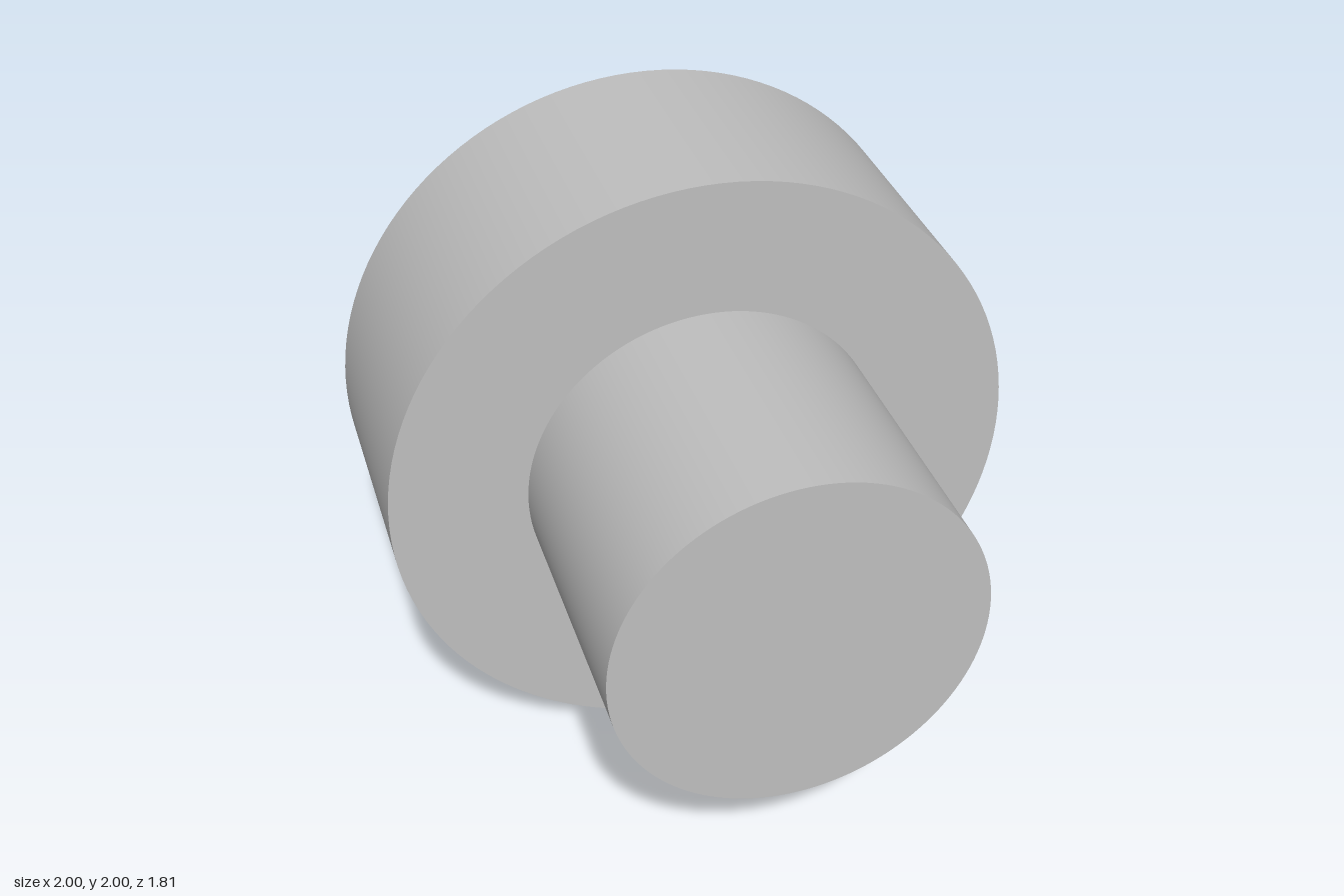
import * as THREE from 'three';

const SEGMENTS = 128;
const AXIS_HEIGHT = 1;

// Solid cylinder lying along z, between two z positions
function roundPart(name, radius, zBack, zFront, material) {
  const geometry = new THREE.CylinderGeometry(radius, radius, zFront - zBack, SEGMENTS);
  geometry.rotateX(Math.PI / 2);
  const mesh = new THREE.Mesh(geometry, material);
  mesh.name = name;
  mesh.position.set(0, AXIS_HEIGHT, (zBack + zFront) / 2);
  return mesh;
}

export function createModel() {
  const model = new THREE.Group();
  model.name = 'flangedShaft';

  const grey = new THREE.MeshStandardMaterial({ color: 0xbfbfbf });
  grey.name = 'plain grey';

  // Shaft runs right through the wide collar, long in front and short behind
  model.add(roundPart('shaft', 0.57, -0.905, 0.905, grey));
  model.add(roundPart('collar', 1, -0.738, 0.024, grey));

  return model;
}
